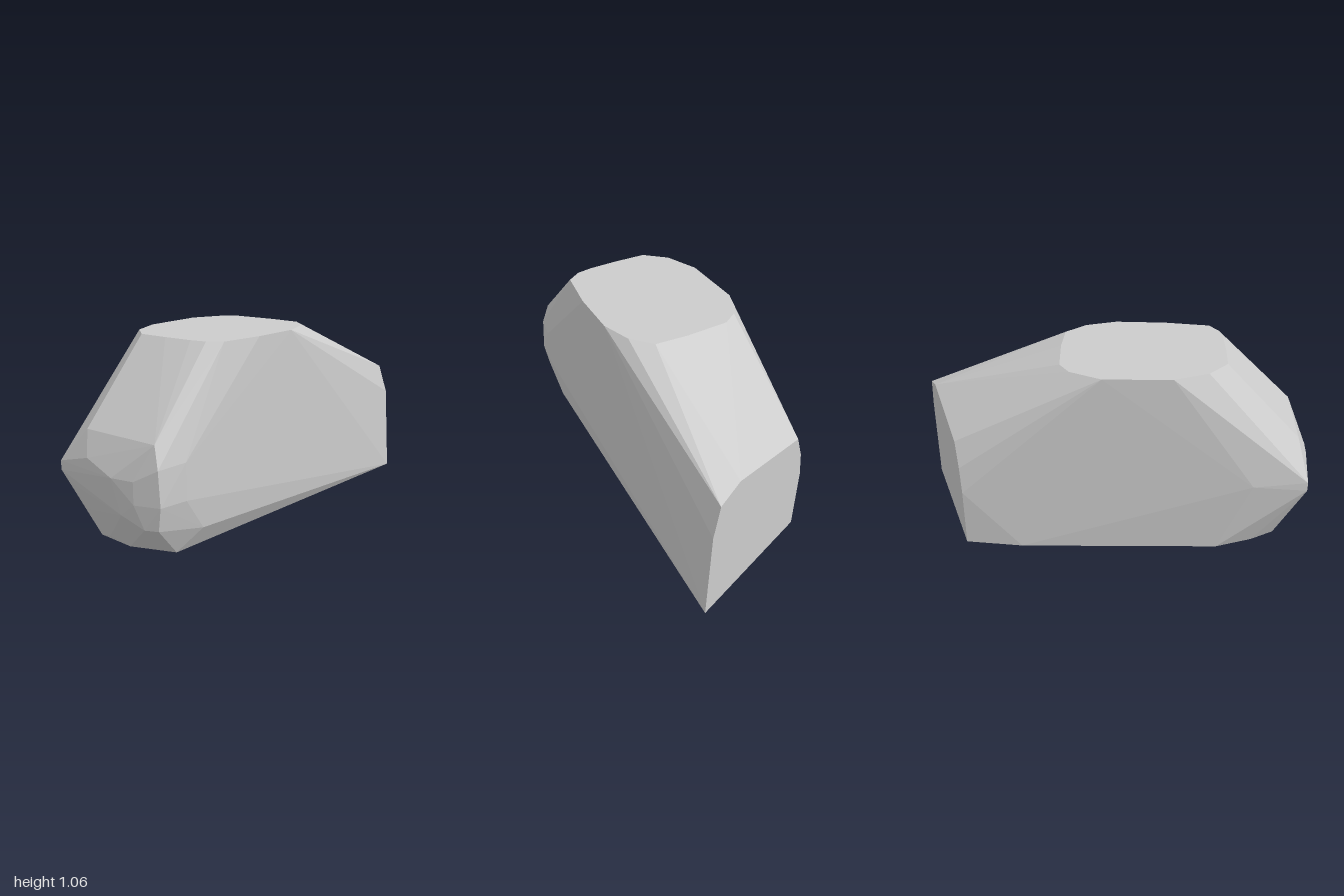
import * as THREE from 'three';
import { ConvexGeometry } from 'three/addons/geometries/ConvexGeometry.js';

// Flat crown outline (x, z)
const TOP = 1.06;
const crown = [
  [-0.51, 0.06], [-0.51, 0.26], [-0.44, 0.4], [-0.28, 0.47], [-0.12, 0.53], [-0.03, 0.55],
  [0.06, 0.53], [0.19, 0.31], [0.305, 0.05], [0.32, -0.13], [0.27, -0.27], [0.1, -0.35],
  [-0.13, -0.43], [-0.23, -0.41], [-0.375, -0.28],
];

// Flat underside outline (x, z)
const base = [
  [0.77, -1], [-0.05, -1], [-0.2, -0.715], [-0.6, 0.31], [-0.61, 0.53],
  [-0.59, 0.68], [-0.38, 0.79], [-0.12, 0.8], [-0.03, 0.6],
];

// Upright rear cut at z = -1 (x, y)
const rear = [
  [0.74, 0.51], [0.69, 0.68], [0.535, 0.73], [0, 0.64], [-0.055, 0.5], [-0.075, 0.35],
];

// Rounded nose and its shoulders (x, y, z)
const nose = [
  [-0.16, 0.62, 0.97], [-0.135, 0.5, 1], [-0.125, 0.31, 1], [-0.145, 0.18, 0.98], [-0.22, 0.18, 0.98],
  [-0.04, 0.51, 0.86], [-0.04, 0.31, 0.86], [0, 0.12, 0.72],
  [-0.27, 0.43, 0.99], [-0.27, 0.31, 0.99], [-0.4, 0.43, 0.96], [-0.35, 0.24, 0.96],
  [-0.6, 0.62, 0.78], [-0.57, 0.49, 0.86], [-0.77, 0.43, 0.76], [-0.77, 0.38, 0.76],
  [-0.69, 0.31, 0.78], [-0.63, 0.17, 0.75], [-0.51, 0.03, 0.75], [-0.69, 0.42, 0.47],
];

export function createModel() {
  const points = [
    ...crown.map(([x, z]) => new THREE.Vector3(x, TOP, z)),
    ...base.map(([x, z]) => new THREE.Vector3(x, 0, z)),
    ...rear.map(([x, y]) => new THREE.Vector3(x, y, -1)),
    ...nose.map((p) => new THREE.Vector3(...p)),
  ];

  // One faceted convex solid stretched over the four outlines
  const body = new THREE.Mesh(
    new ConvexGeometry(points),
    new THREE.MeshStandardMaterial({ color: 0xcccccc, flatShading: true }),
  );
  body.name = 'facetedBlock';

  const model = new THREE.Group();
  model.name = 'model';
  model.add(body);
  return model;
}
